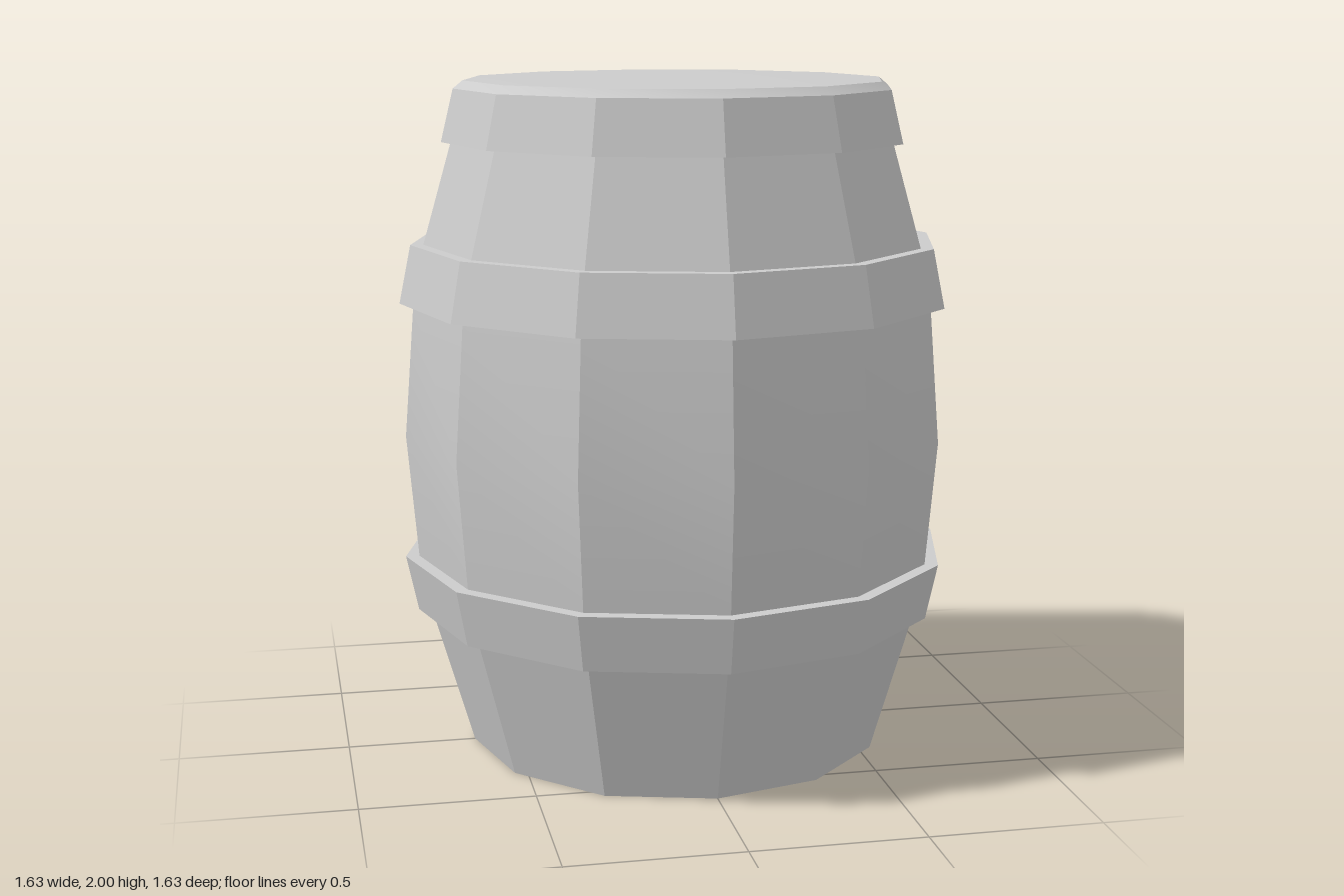
import * as THREE from 'three';
import { toCreasedNormals } from 'three/addons/utils/BufferGeometryUtils.js';

const SIDES = 12;

export function createModel() {
  const barrel = new THREE.Group();
  barrel.name = 'barrel';
  const material = new THREE.MeshStandardMaterial({ color: 0xcccccc, side: THREE.DoubleSide });

  const add = (name, geometry, y = 0) => {
    // flat facets around, soft bulge up the staves
    const mesh = new THREE.Mesh(toCreasedNormals(geometry, THREE.MathUtils.degToRad(20)), material);
    mesh.name = name;
    mesh.position.y = y;
    barrel.add(mesh);
  };

  // Sections of one thin, open-bottomed shell: [radius, height] from bottom to top
  const sections = {
    lowerStaves: [[0.62, 0], [0.742, 0.42]],
    lowerHoop: [[0.742, 0.42], [0.78, 0.42], [0.815, 0.585], [0.775, 0.585]],
    middleStaves: [[0.775, 0.585], [0.806, 0.95], [0.775, 1.345]],
    upperHoop: [[0.775, 1.345], [0.815, 1.345], [0.78, 1.515], [0.742, 1.515]],
    upperStaves: [[0.742, 1.515], [0.657, 1.81]],
    rimHoop: [[0.657, 1.81], [0.685, 1.81], [0.648, 1.962], [0.62, 1.985]],
  };
  for (const [name, profile] of Object.entries(sections)) {
    const points = profile.map(([r, y]) => new THREE.Vector2(r, y));
    add(name, new THREE.LatheGeometry(points, SIDES));
  }

  // Slightly domed lid
  add('lid', new THREE.ConeGeometry(0.62, 0.015, SIDES, 1, true), 1.9925);

  return barrel;
}
